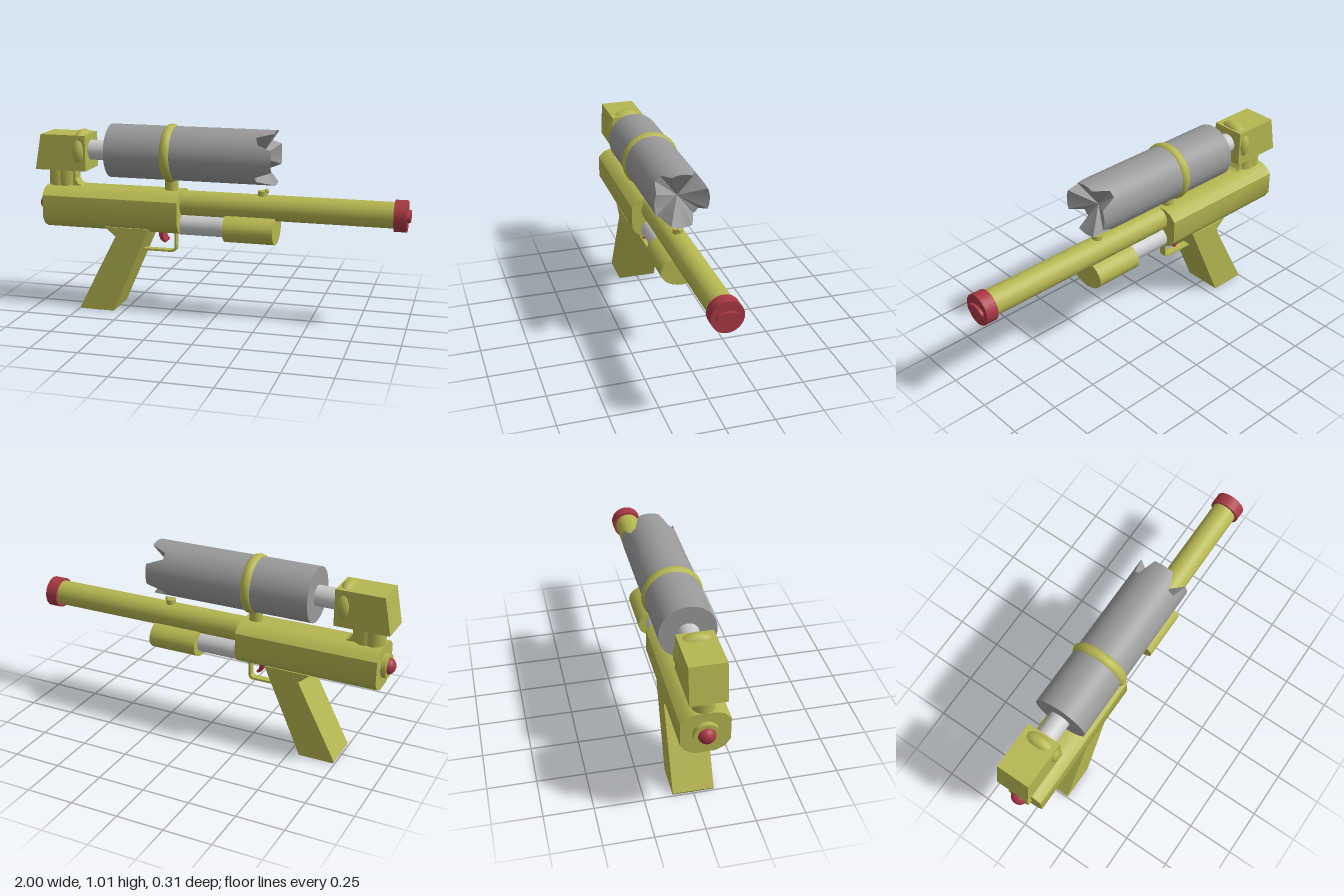
import * as THREE from 'three';
import { toCreasedNormals } from 'three/addons/utils/BufferGeometryUtils.js';

const mat = (color) => new THREE.MeshStandardMaterial({ color, roughness: 0.8 });

export function createModel() {
  const model = new THREE.Group();
  model.name = 'toyBlaster';
  const yellow = mat(0xb5b650), red = mat(0xa83843), darkGrey = mat(0x999999), grey = mat(0xcccccc);

  const add = (name, geometry, material, x = 0, y = 0, z = 0) => {
    const mesh = new THREE.Mesh(geometry, material);
    mesh.name = name;
    mesh.position.set(x, y, z);
    model.add(mesh);
    return mesh;
  };

  // Cylinder along x from x0 to x1, with its own height and depth radii
  const rod = (name, x0, x1, y, ry, rz, material, sides = 32) => {
    const g = new THREE.CylinderGeometry(1, 1, x1 - x0, sides);
    g.rotateZ(-Math.PI / 2).scale(1, ry, rz);
    return add(name, g, material, (x0 + x1) / 2, y);
  };

  // Upright cylinder
  const post = (name, x, y0, y1, r0, r1, material) =>
    add(name, new THREE.CylinderGeometry(r1, r0, y1 - y0, 24), material, x, (y0 + y1) / 2);

  // Side profile in x and y, given thickness across z
  const slab = (name, points, width, material) => {
    const shape = new THREE.Shape(points.map((p) => new THREE.Vector2(...p)));
    const g = new THREE.ExtrudeGeometry(shape, { depth: width, bevelEnabled: false });
    g.translate(0, 0, -width / 2);
    return add(name, g, material);
  };

  // Ring around the x axis
  const ring = (name, x, y, radius, tube, tubeWidth) => {
    const g = new THREE.TorusGeometry(radius, tube, 12, 32);
    g.rotateY(Math.PI / 2).scale(tubeWidth / tube, 1, 1);
    return add(name, g, yellow, x, y);
  };

  // Receiver: rounded box cross-section swept along x
  const half = [[0.05, 0.665], [0.088, 0.652], [0.12, 0.62], [0.12, 0.5], [0.095, 0.462], [0.05, 0.44]];
  const outline = [...half, ...half.map(([z, y]) => [-z, y]).reverse()];
  const receiverShape = new THREE.Shape(outline.map((p) => new THREE.Vector2(...p)));
  const receiver = new THREE.ExtrudeGeometry(receiverShape, { depth: 0.75, bevelEnabled: false });
  receiver.rotateY(Math.PI / 2).translate(-0.94, 0, 0);
  add('receiver', toCreasedNormals(receiver, 0.75), yellow);

  // Rear button
  rod('rearCollar', -0.966, -0.94, 0.557, 0.062, 0.062, yellow);
  const dome = new THREE.SphereGeometry(0.043, 24, 16);
  dome.scale(0.9, 1, 1);
  add('rearButton', dome, red, -0.961, 0.557);

  // Barrel and muzzle
  rod('barrel', -0.2, 0.93, 0.597, 0.067, 0.067, yellow);
  rod('muzzleCap', 0.92, 0.985, 0.595, 0.081, 0.081, red);
  rod('muzzleNozzle', 0.98, 1.0, 0.595, 0.031, 0.056, red);

  // Pump
  rod('pumpRod', -0.2, 0.06, 0.485, 0.059, 0.07, grey);
  rod('pumpHandle', 0.05, 0.315, 0.482, 0.078, 0.11, yellow);

  // Tank with four V notches cut in its hollow front end
  const length = 0.89;
  const tank = new THREE.CylinderGeometry(0.142, 0.142, length, 48);
  const pos = tank.attributes.position;
  for (let i = 0; i < pos.count; i++) {
    if (pos.getY(i) < 0) continue;
    const x = pos.getX(i), z = pos.getZ(i);
    const quarter = Math.PI / 2;
    const angle = (Math.atan2(z, x) + Math.PI * 2) % quarter;
    const offset = Math.abs(angle - quarter / 2) * 180 / Math.PI;
    const cut = THREE.MathUtils.clamp((22.5 - offset) / 15, 0, 1);
    const depth = Math.hypot(x, z) < 0.01 ? 0.085 : 0.088 * cut;
    pos.setY(i, length / 2 - depth);
  }
  tank.rotateZ(-Math.PI / 2);
  add('tank', toCreasedNormals(tank, 0.4), darkGrey, -0.58 + length / 2, 0.86);
  rod('tankNeck', -0.74, -0.57, 0.858, 0.053, 0.053, grey);

  // Tank strap and its mount
  ring('tankStrap', -0.25, 0.86, 0.128, 0.026, 0.031);
  post('strapMount', -0.252, 0.65, 0.735, 0.035, 0.035, yellow);

  // Tank valve housing, collar and supporting posts
  slab('valveHousing', [[-0.985, 0.755], [-0.7, 0.755], [-0.7, 0.945], [-0.95, 0.945]], 0.18, yellow);
  ring('valveCollar', -0.742, 0.86, 0.073, 0.036, 0.036);
  post('rearSupport', -0.885, 0.65, 0.76, 0.055, 0.055, yellow);
  post('frontSupport', -0.838, 0.65, 0.76, 0.055, 0.055, yellow);
  slab('supportFillet', [[-0.8, 0.66], [-0.735, 0.66], [-0.765, 0.675], [-0.782, 0.7], [-0.782, 0.755], [-0.8, 0.755]], 0.07, yellow);

  // Front sight
  post('sightBase', 0.24, 0.65, 0.685, 0.026, 0.026, yellow);
  add('sightBead', new THREE.SphereGeometry(0.012, 16, 12), yellow, 0.262, 0.685);

  // Grip
  slab('grip', [[-0.745, 0.01], [-0.74, 0], [-0.555, 0], [-0.35, 0.465], [-0.595, 0.465], [-0.535, 0.415]], 0.208, yellow);

  // Trigger guard
  slab('triggerGuard', [
    [-0.42, 0.328], [-0.245, 0.328], [-0.23, 0.335], [-0.224, 0.35], [-0.224, 0.46],
    [-0.234, 0.46], [-0.234, 0.352], [-0.247, 0.338], [-0.42, 0.338],
  ], 0.04, yellow);

  // Trigger
  slab('trigger', [
    [-0.316, 0.46], [-0.314, 0.42], [-0.304, 0.395], [-0.28, 0.382],
    [-0.276, 0.392], [-0.288, 0.405], [-0.294, 0.425], [-0.294, 0.46],
  ], 0.074, red);

  return model;
}
